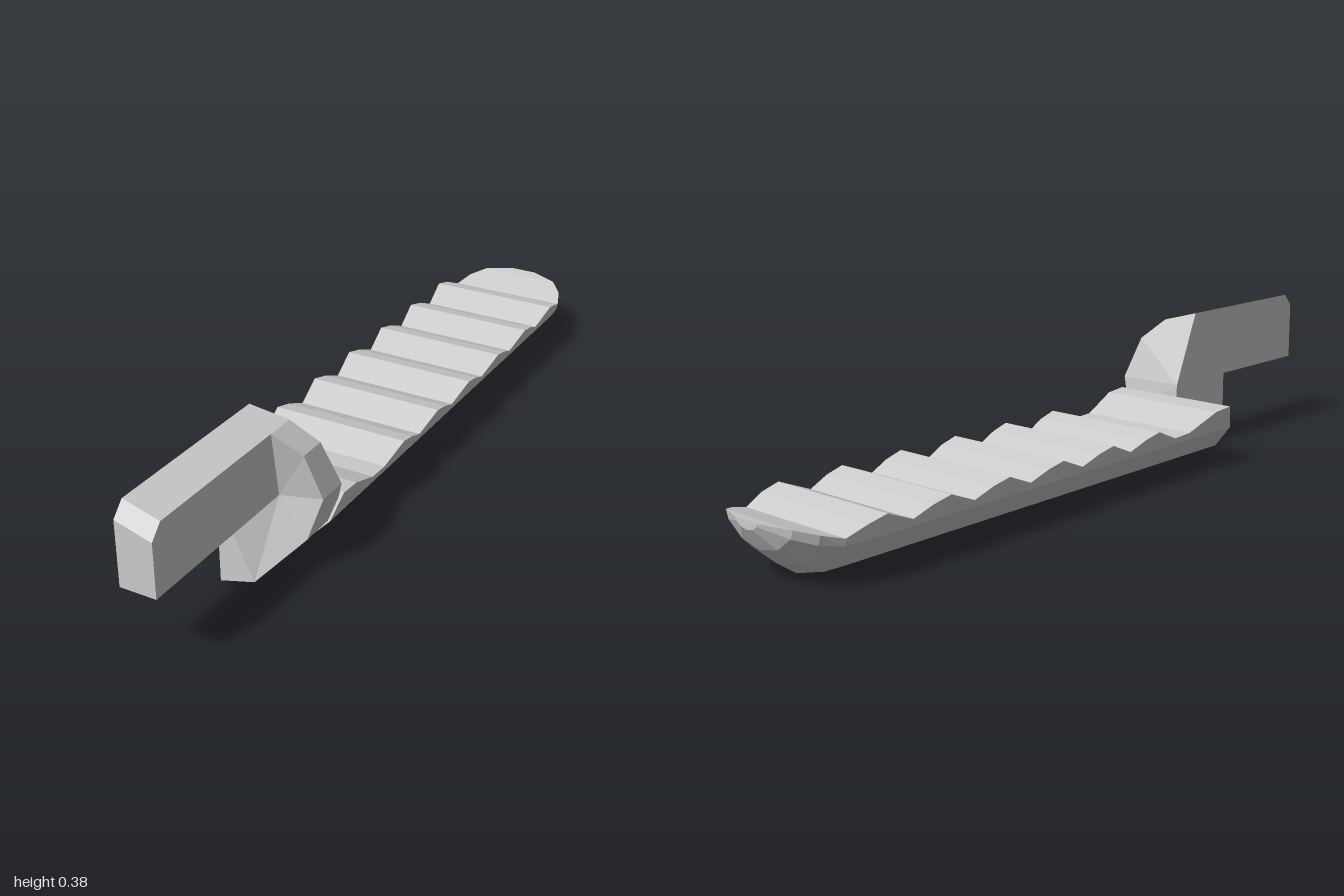
import * as THREE from 'three';

const material = new THREE.MeshStandardMaterial({ color: 0xcccccc, flatShading: true, side: THREE.DoubleSide });

function makeMesh(name, points, faces) {
  const geometry = new THREE.BufferGeometry();
  geometry.setAttribute('position', new THREE.Float32BufferAttribute(points.flat(), 3));
  geometry.setIndex(faces.flat());
  const flat = geometry.toNonIndexed();
  flat.computeVertexNormals();
  const mesh = new THREE.Mesh(flat, material);
  mesh.name = name;
  return mesh;
}

// Joins equal counter-clockwise cross-sections, ordered from back to front, and caps both ends.
function loft(name, sections) {
  const n = sections[0].length;
  const last = (sections.length - 1) * n;
  const faces = [];
  for (let s = 0; s < last; s += n) {
    for (let i = 0; i < n; i++) {
      const j = (i + 1) % n;
      faces.push([s + i, s + j, s + n + j], [s + i, s + n + j, s + n + i]);
    }
  }
  for (let i = 1; i < n - 1; i++) faces.push([0, i + 1, i], [last, last + i, last + i + 1]);
  return makeMesh(name, sections.flat(), faces);
}

// Rounded-bottom grip section with a flat top
function gripSection(z, top, bottom = 0, width = 1, slant = 0) {
  const half = [[0.095, 0.025], [0.166, 0.095], [0.166 + 0.32 * (top - 0.1), top]];
  const mirrored = half.map(([x, y]) => [-x, y]).reverse();
  return [[0, 0], ...half, ...mirrored].map(([x, y]) => [
    x * width,
    bottom + y * (top - bottom) / top,
    z + slant * (top - y),
  ]);
}

function makeGrip() {
  // Upturned rounded tip
  const sections = [
    gripSection(-1, 0.145, 0.125, 0.2),
    gripSection(-0.97, 0.14, 0.075, 0.62),
    gripSection(-0.93, 0.127, 0.035, 0.84),
    gripSection(-0.88, 0.112, 0, 0.97),
  ];
  // Finger ridges along the top
  for (let k = 5; k >= 0; k--) {
    const peak = 0.13 - 0.182 * k;
    sections.push(
      gripSection(peak - 0.05, 0.133),
      gripSection(peak, 0.145),
      gripSection(peak + 0.08, 0.112),
    );
  }
  // Raised front with a slanted end face
  sections.push(
    gripSection(0.27, 0.115),
    gripSection(0.37, 0.155),
    gripSection(0.43, 0.16, 0, 1, 0.47),
  );
  return loft('grip', sections);
}

// Half-round collar that joins the grip to the arm
function makeCollar() {
  // x, y, back z, front z
  const rim = [
    [0, 0, 0.43, 0.66],
    [0.09, 0.025, 0.43, 0.66],
    [0.16, 0.095, 0.43, 0.55],
    [0.185, 0.19, 0.44, 0.52],
    [0.15, 0.3, 0.47, 0.54],
    [0.09, 0.355, 0.5, 0.575],
    [0, 0.38, 0.52, 0.575],
  ];
  const points = [
    ...rim.map(([x, y, back]) => [x, y, back]),
    ...rim.map(([x, y, , front]) => [x, y, front]),
    [0, 0.19, 0.44], // 14 back centre
    [0, 0.19, 0.66], // 15 front inner edge
    [0.013, 0.19, 0.66], // 16 front ridge
    [0.09, 0.19, 0.55], // 17 corner under the arm
  ];
  const faces = [];
  for (let i = 0; i < 6; i++) {
    faces.push([i, i + 1, i + 8], [i, i + 8, i + 7], [14, i + 1, i]);
  }
  // Hollowed front face
  for (let i = 8; i < 12; i++) faces.push([17, i, i + 1]);
  faces.push([15, 7, 16], [16, 7, 8], [16, 8, 17], [15, 16, 17]);
  // Flat inner side
  faces.push([0, 7, 15], [0, 15, 14], [14, 15, 13], [14, 13, 6]);
  return makeMesh('collar', points, faces);
}

// Straight arm with a chamfered front end
function makeArm() {
  const section = (z, drop) => [
    [0, 0.19, z], [0.09, 0.19, z], [0.09, 0.355 - drop, z], [0, 0.38 - drop, z],
  ];
  return loft('arm', [section(0.55, 0), section(0.97, 0), section(1, 0.033)]);
}

export function createModel() {
  const group = new THREE.Group();
  group.name = 'grippedLever';
  group.add(makeGrip(), makeCollar(), makeArm());
  return group;
}
